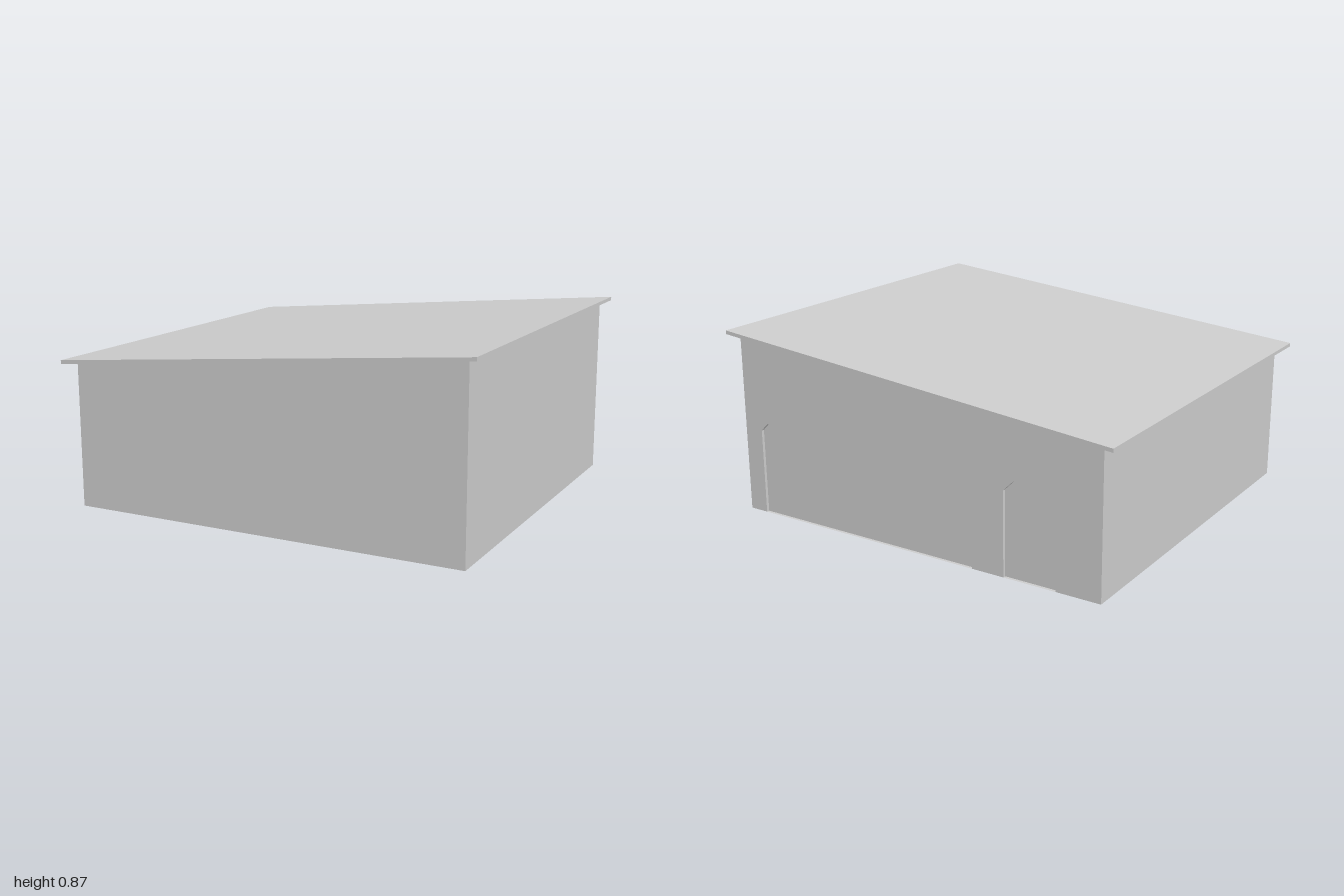
import * as THREE from 'three';

const X0 = -0.938, X1 = 0.955, ZB = -0.874, ZF = 0.877;
const FLOOR = 0.006, GAP = 0.045, RECESS = 0.014;
const eave = x => 0.669 + 0.093 * (x + 1); // underside of the sloping roof

const material = new THREE.MeshStandardMaterial({ color: 0xcccccc, flatShading: true, side: THREE.DoubleSide });

function add(parent, name, geometry) {
  const mesh = new THREE.Mesh(geometry, material);
  mesh.name = name;
  parent.add(mesh);
  return mesh;
}

const shapeOf = points => new THREE.Shape(points.map(([x, y]) => new THREE.Vector2(x, y)));

// Door outline with cut upper corners, running from -x to +x
const doorOutline = ({ x0, x1, h, c }) => [
  [x0, 0], [x0, h - c], [x0 + c, h], [x1 - c, h], [x1, h - c], [x1, 0],
];

// Flat shape at depth z, turned about so that its face looks to the rear
function rearFace(points, z) {
  const g = new THREE.ShapeGeometry(shapeOf(points));
  const a = g.index.array;
  for (let i = 0; i < a.length; i += 3) [a[i], a[i + 1]] = [a[i + 1], a[i]];
  g.computeVertexNormals();
  return g.translate(0, 0, z);
}

// Closed strip (jambs, head and sill) joining the wall face to the recessed panel
function revealGeometry(outline) {
  const pos = [], index = [];
  [...outline, outline[0]].forEach(([x, y], i) => {
    pos.push(x, y, ZB, x, y, ZB + RECESS);
    if (i) {
      const a = 2 * i - 2;
      index.push(a, a + 1, a + 2, a + 1, a + 3, a + 2);
    }
  });
  const g = new THREE.BufferGeometry();
  g.setAttribute('position', new THREE.Float32BufferAttribute(pos, 3));
  g.setIndex(index);
  g.computeVertexNormals();
  return g;
}

export function createModel() {
  const model = new THREE.Group();
  model.name = 'garage';

  // Roof: thin sloping slab that overhangs all four walls
  const t = 0.017;
  const roof = new THREE.ExtrudeGeometry(
    shapeOf([[-1, eave(-1)], [1, eave(1)], [1, eave(1) + t], [-1, eave(-1) + t]]),
    { depth: 1.836, bevelEnabled: false });
  add(model, 'roof', roof.translate(0, 0, -0.918));

  // Front wall
  const front = new THREE.ShapeGeometry(shapeOf([[X0, 0], [X1, 0], [X1, eave(X1)], [X0, eave(X0)]]));
  add(model, 'frontWall', front.translate(0, 0, ZF));

  // Side walls
  for (const [name, x, turn] of [['leftWall', X1, 1], ['rightWall', X0, -1]]) {
    const wall = new THREE.PlaneGeometry(ZF - ZB, eave(x)).rotateY(turn * Math.PI / 2);
    add(model, name, wall.translate(x, eave(x) / 2, (ZF + ZB) / 2));
  }

  // Back wall, notched for the small door and the wide door
  const doors = [
    { name: 'smallDoor', x0: -0.725, x1: -0.472, h: 0.44, c: 0.05 },
    { name: 'wideDoor', x0: -0.312, x1: 0.86, h: 0.445, c: 0.04 },
  ];
  const outlines = doors.map(doorOutline);
  add(model, 'backWall', rearFace(
    [[X0, 0], ...outlines.flat(), [X1, 0], [X1, eave(X1)], [X0, eave(X0)]], ZB));

  // Recessed door panels and their reveals
  doors.forEach(({ name }, i) => {
    const door = new THREE.Group();
    door.name = name;
    add(door, name + 'Panel', rearFace(outlines[i], ZB + RECESS));
    add(door, name + 'Reveal', revealGeometry(outlines[i]));
    model.add(door);
  });

  // Floor, set in from the walls by a narrow gap
  const floor = new THREE.PlaneGeometry(X1 - X0 - 2 * GAP, ZF - ZB - 2 * GAP).rotateX(Math.PI / 2);
  add(model, 'floor', floor.translate((X0 + X1) / 2, FLOOR, (ZF + ZB) / 2));

  return model;
}
